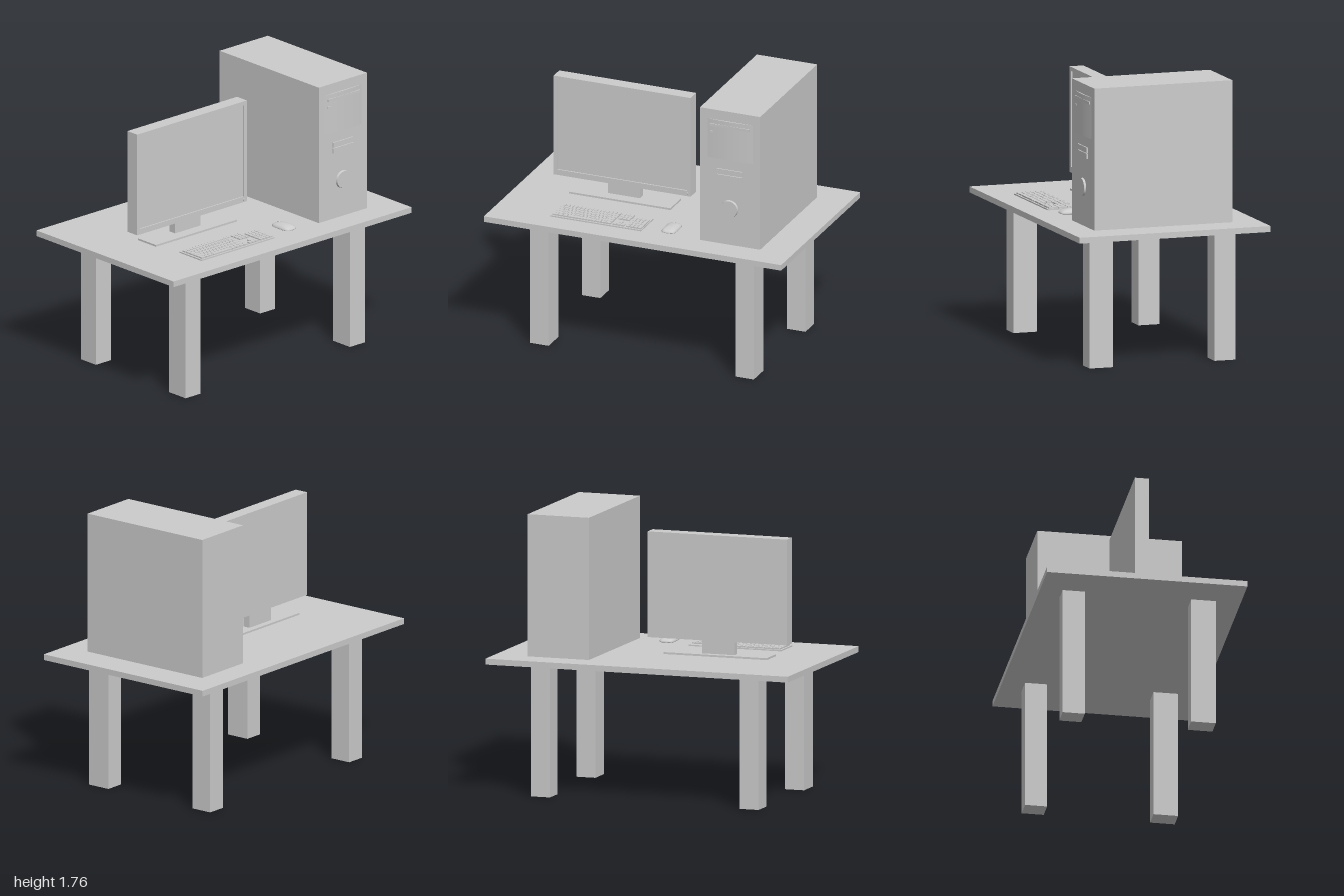
import * as THREE from 'three';
import { mergeVertices } from 'three/addons/utils/BufferGeometryUtils.js';

const material = new THREE.MeshStandardMaterial({ color: 0xcccccc });

function add(parent, name, geometry) {
  const mesh = new THREE.Mesh(geometry, material);
  mesh.name = name;
  parent.add(mesh);
  return mesh;
}

// Box given by its limits on each axis
function box(parent, name, [x0, x1], [y0, y1], [z0, z1]) {
  const mesh = add(parent, name, new THREE.BoxGeometry(x1 - x0, y1 - y0, z1 - z0));
  mesh.position.set((x0 + x1) / 2, (y0 + y1) / 2, (z0 + z1) / 2);
}

function group(parent, name) {
  const g = new THREE.Group();
  g.name = name;
  parent.add(g);
  return g;
}

const TOP = 0.872; // height of the desk surface

function buildDesk(root) {
  const desk = group(root, 'desk');
  box(desk, 'deskTop', [-1, 1], [0.835, TOP], [-0.63, 0.63]);
  for (const x of [[-0.755, -0.63], [0.625, 0.75]]) {
    box(desk, 'frontLeg', x, [0, 0.835], [0.318, 0.473]);
    box(desk, 'backLeg', x, [0, 0.835], [-0.49, -0.351]);
  }
}

function buildMonitor(root) {
  const monitor = group(root, 'monitor');
  box(monitor, 'base', [-0.655, 0.027], [TOP, 0.884], [-0.076, 0.09]);
  box(monitor, 'neck', [-0.425, -0.21], [0.884, 0.966], [-0.035, 0.015]);
  box(monitor, 'housing', [-0.775, 0.146], [0.966, 1.63], [-0.04, 0.041]);

  // Bezel around the recessed screen
  const rect = (path, x0, y0, x1, y1) =>
    path.moveTo(x0, y0).lineTo(x1, y0).lineTo(x1, y1).lineTo(x0, y1);
  const frame = rect(new THREE.Shape(), -0.775, 0.966, 0.146, 1.63);
  frame.holes.push(rect(new THREE.Path(), -0.75, 1.002, 0.122, 1.604));
  add(monitor, 'bezel', new THREE.ExtrudeGeometry(frame, { depth: 0.009, bevelEnabled: false }))
    .position.z = 0.041;

  const button = add(monitor, 'powerButton', new THREE.CylinderGeometry(0.009, 0.009, 0.006, 16));
  button.rotation.x = Math.PI / 2;
  button.position.set(0.122, 0.984, 0.052);
}

function buildTower(root) {
  const tower = group(root, 'tower');
  box(tower, 'case', [0.38, 0.785], [TOP, 1.765], [-0.455, 0.455]);

  // Drive cover, gently bowed outwards across its width
  const section = new THREE.Shape();
  section.moveTo(0.43, -0.455);
  section.quadraticCurveTo(0.583, -0.473, 0.737, -0.455);
  const cover = add(tower, 'driveCover',
    new THREE.ExtrudeGeometry(section, { depth: 0.26, bevelEnabled: false, curveSegments: 16 }));
  cover.rotation.x = -Math.PI / 2;
  cover.position.y = 1.44;
  box(tower, 'driveTray', [0.45, 0.716], [1.655, 1.672], [0.455, 0.466]);
  box(tower, 'ejectButton', [0.45, 0.475], [1.61, 1.622], [0.455, 0.464]);

  // Card slot made of two lips with a gap between
  box(tower, 'slotLip', [0.495, 0.667], [1.305, 1.337], [0.455, 0.463]);
  box(tower, 'slotLip', [0.495, 0.667], [1.343, 1.375], [0.455, 0.463]);

  // Round power button
  const button = add(tower, 'powerButton', new THREE.CylinderGeometry(0.054, 0.057, 0.013, 40));
  button.rotation.x = Math.PI / 2;
  button.position.set(0.58, 1.115, 0.4615);
}

function buildKeyboard(root) {
  const keyboard = group(root, 'keyboard');
  box(keyboard, 'keyboardBody', [-0.62, -0.01], [TOP, 0.88], [0.27, 0.473]);

  const cell = 0.0262;
  const pitch = 0.0305;
  const key = (col, row, w = 1, h = 1) => {
    const x = -0.61 + col * cell;
    const z = 0.281 + row * pitch;
    box(keyboard, 'key', [x + 0.002, x + w * cell - 0.002], [0.88, 0.889],
      [z + 0.002, z + h * pitch - 0.002]);
  };
  // Main block, as key widths per row
  const rows = [
    Array(15).fill(1),
    [...Array(13).fill(1), 2],
    [1.5, ...Array(12).fill(1), 1.5],
    [1.8, ...Array(11).fill(1), 2.2],
    [2.3, ...Array(10).fill(1), 2.7],
    [1.4, 1.2, 1.2, 6, 1.3, 1.3, 1.2, 1.4],
  ];
  rows.forEach((widths, row) => {
    let col = 0;
    for (const w of widths) {
      key(col, row, w);
      col += w;
    }
  });
  // Navigation keys and arrows
  for (let c = 0; c < 3; c++) {
    for (const row of [0, 1, 2, 5]) key(15.4 + c, row);
  }
  key(16.4, 4);
  // Number pad
  for (let row = 1; row < 6; row++) {
    for (let c = 0; c < 3; c++) key(18.8 + c, row);
  }
  key(21.8, 1);
  key(21.8, 2, 1, 2);
  key(21.8, 4, 1, 2);
}

function buildMouse(root) {
  const mouse = group(root, 'mouse');
  // Sphere squared off in plan, domed above and shallow below
  const sphere = new THREE.SphereGeometry(1, 40, 24);
  sphere.deleteAttribute('uv');
  sphere.deleteAttribute('normal');
  const shell = mergeVertices(sphere);
  const p = shell.attributes.position;
  for (let i = 0; i < p.count; i++) {
    const x = p.getX(i), y = p.getY(i), z = p.getZ(i);
    const angle = Math.atan2(z, x);
    const square = (Math.cos(angle) ** 4 + Math.sin(angle) ** 4) ** -0.25;
    p.setXYZ(i, x * square * 0.048, y * (y > 0 ? 0.026 : 0.01), z * square * 0.079);
  }
  shell.computeVertexNormals();
  add(mouse, 'mouseShell', shell).position.set(0.158, TOP + 0.01, 0.378);

  const wheel = add(mouse, 'mouseWheel', new THREE.CylinderGeometry(0.015, 0.015, 0.01, 24));
  wheel.rotation.z = Math.PI / 2;
  wheel.position.set(0.158, 0.892, 0.332);
}

export function createModel() {
  const root = new THREE.Group();
  root.name = 'computerDesk';
  buildDesk(root);
  buildMonitor(root);
  buildTower(root);
  buildKeyboard(root);
  buildMouse(root);
  return root;
}
